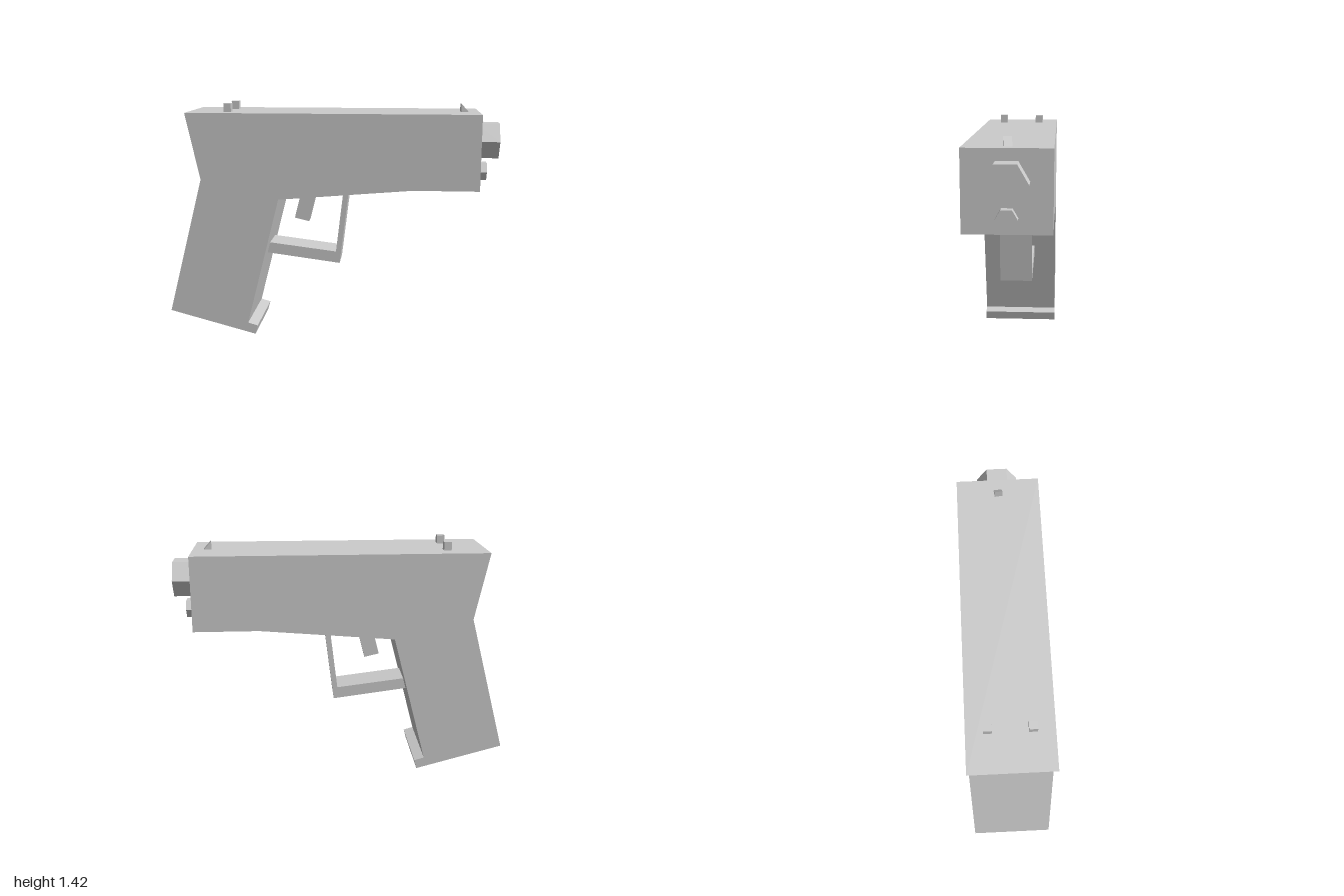
import * as THREE from 'three';

const material = new THREE.MeshStandardMaterial({ color: 0xcccccc, flatShading: true });

function add(group, name, geometry, x = 0, y = 0, z = 0) {
  const mesh = new THREE.Mesh(geometry, material);
  mesh.name = name;
  mesh.position.set(x, y, z);
  group.add(mesh);
  return mesh;
}

// Side outline extruded to a slab centred on z = 0
function slab(points, width) {
  const shape = new THREE.Shape(points.map(([x, y]) => new THREE.Vector2(x, y)));
  const geometry = new THREE.ExtrudeGeometry(shape, { depth: width, bevelEnabled: false });
  return geometry.translate(0, 0, -width / 2);
}

export function createModel() {
  const model = new THREE.Group();
  model.name = 'pistol';

  // Slide, frame and raked grip with a small toe at the bottom
  add(model, 'body', slab([
    [-0.87, 1.37], [-0.785, 0.97], [-1, 0.14], [-0.47, 0.0], [-0.455, 0.055],
    [-0.515, 0.072], [-0.315, 0.855], [0.49, 0.922], [0.88, 0.922], [0.88, 1.37],
  ], 0.48));

  // L-shaped guard, its ends sunk into the frame and grip
  add(model, 'triggerGuard', slab([
    [-0.43, 0.56], [-0.43, 0.493], [0.045, 0.432], [0.103, 0.91], [0.07, 0.91], [0.022, 0.505],
  ], 0.2));

  add(model, 'trigger', slab([
    [-0.195, 0.89], [-0.242, 0.703], [-0.152, 0.682], [-0.1, 0.89],
  ], 0.08));

  // Hexagonal barrel and the guide rod below it
  for (const [name, radius, y, end] of [['barrel', 0.12, 1.2, 1.0], ['guideRod', 0.06, 1.01, 0.935]]) {
    const start = 0.86;
    const geometry = new THREE.CylinderGeometry(radius, radius, end - start, 6).rotateZ(-Math.PI / 2);
    add(model, name, geometry, (start + end) / 2, y, 0);
  }

  // Rear sight posts
  for (const side of [-1, 1]) {
    add(model, side > 0 ? 'rearSightLeft' : 'rearSightRight',
      new THREE.BoxGeometry(0.045, 0.07, 0.047), -0.632, 1.385, side * 0.12);
  }

  // Wedge front sight, turned slightly off axis
  const frontSight = add(model, 'frontSight',
    slab([[-0.022, -0.005], [0.027, -0.005], [-0.022, 0.048]], 0.046), 0.792, 1.37, 0);
  frontSight.rotation.y = 0.1;

  return model;
}
